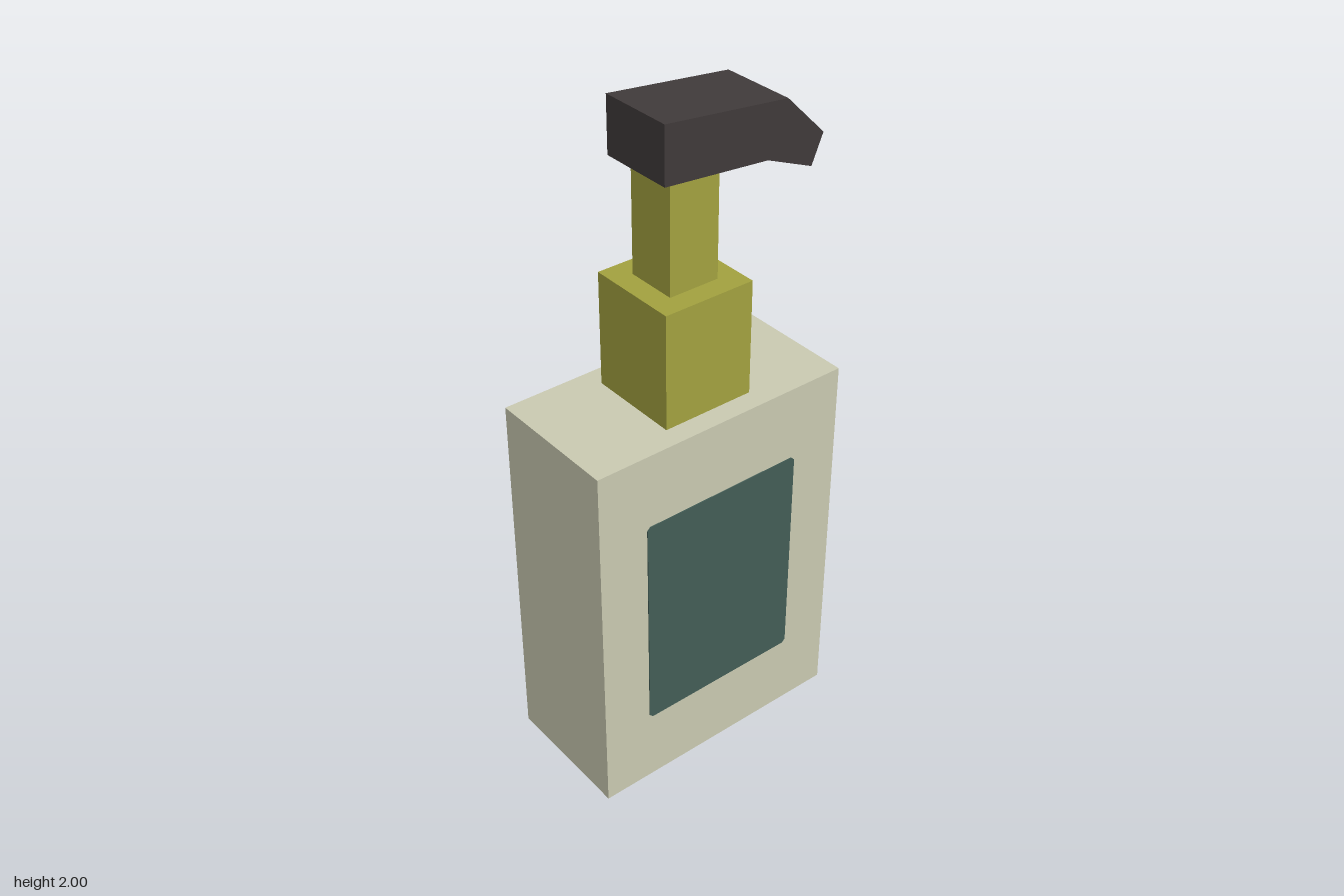
import * as THREE from 'three';

const material = (name, color) => {
  const m = new THREE.MeshStandardMaterial({ color });
  m.name = name;
  return m;
};

export function createModel() {
  const group = new THREE.Group();
  const cream = material('cream', 0xc9c9b1);
  const olive = material('olive', 0xa2a13f);
  const charcoal = material('charcoal', 0x403a3a);
  const teal = material('teal', 0x435d56);

  const add = (name, geometry, mat) => {
    const mesh = new THREE.Mesh(geometry, mat);
    mesh.name = name;
    group.add(mesh);
    return mesh;
  };
  // Box standing between two heights
  const block = (name, width, depth, y0, y1, mat) => {
    const mesh = add(name, new THREE.BoxGeometry(width, y1 - y0, depth), mat);
    mesh.position.y = (y0 + y1) / 2;
  };

  // Bottle, collar and pump stem
  block('bottle', 0.824, 0.412, 0, 1.158, cream);
  block('collar', 0.284, 0.284, 1.158, 1.503, olive);
  block('stem', 0.156, 0.156, 1.503, 1.86, olive);

  // Bent pump head, extruded through its depth
  const headProfile = new THREE.Shape([
    [-0.122, 2], [-0.122, 1.838], [0.205, 1.811],
    [0.355, 1.75], [0.391, 1.835], [0.265, 1.96],
  ].map(([x, y]) => new THREE.Vector2(x, y)));
  const depth = 0.228;
  const head = new THREE.ExtrudeGeometry(headProfile, { depth, bevelEnabled: false });
  head.translate(0, 0, -depth / 2);
  add('pumpHead', head, charcoal);

  // Front label with slightly clipped corners
  const w = 0.258, h = 0.347, c = 0.01;
  const labelShape = new THREE.Shape([
    [-w + c, -h], [w - c, -h], [w, -h + c], [w, h - c],
    [w - c, h], [-w + c, h], [-w, h - c], [-w, -h + c],
  ].map(([x, y]) => new THREE.Vector2(x, y)));
  const label = add('label', new THREE.ExtrudeGeometry(labelShape, { depth: 0.003, bevelEnabled: false }), teal);
  label.position.set(0, 0.582, 0.206);

  return group;
}
